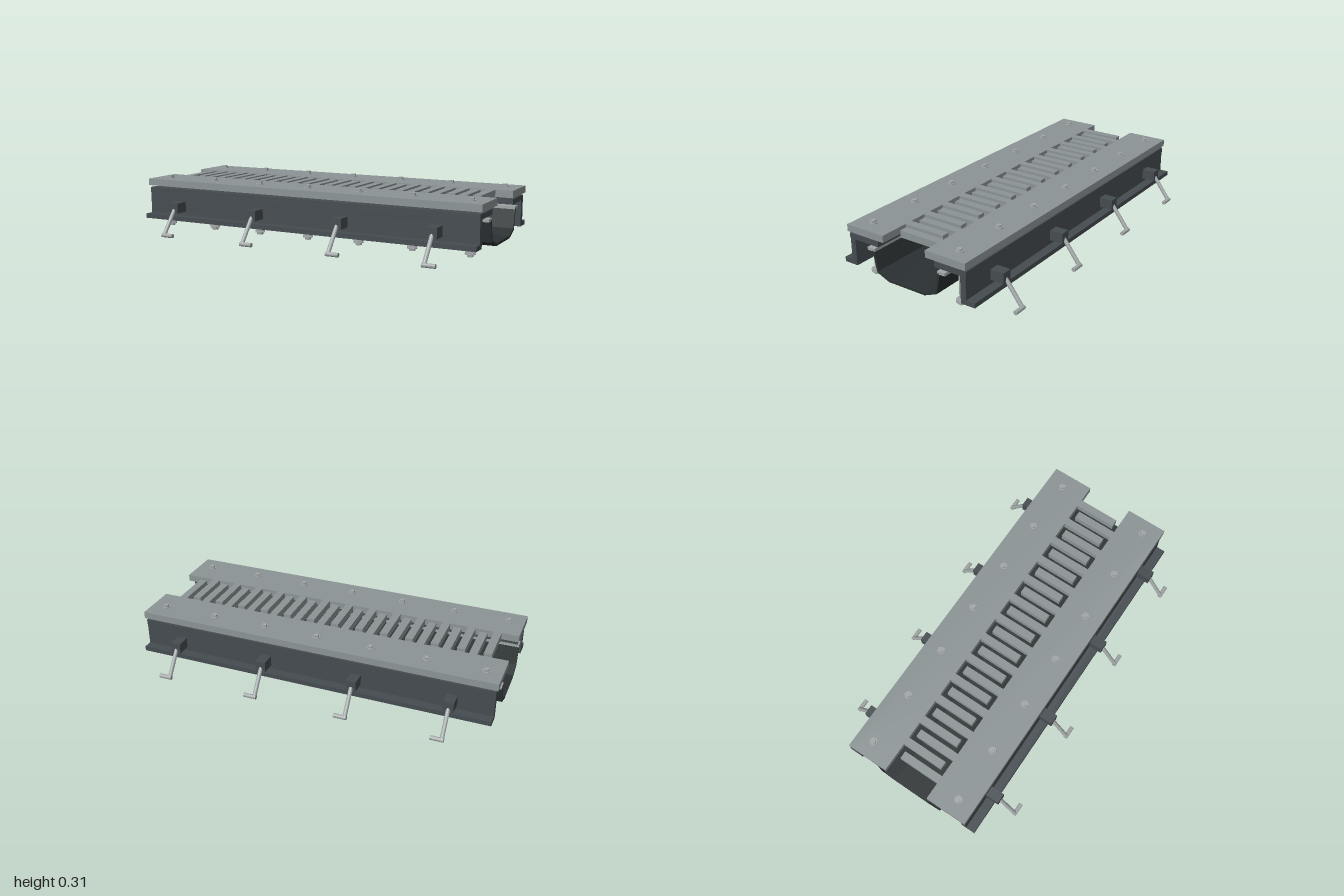
import * as THREE from 'three';

const material = (color) => new THREE.MeshStandardMaterial({ color, flatShading: true });

export function createModel() {
  const root = new THREE.Group();
  const plateMat = material(0x8c9496);
  const beamMat = material(0x454c50);
  const troughMat = material(0x2b3133);
  const boltMat = material(0xa0a5a5);

  const add = (name, geometry, mat, x = 0, y = 0, z = 0) => {
    const mesh = new THREE.Mesh(geometry, mat);
    mesh.name = name;
    mesh.position.set(x, y, z);
    root.add(mesh);
    return mesh;
  };

  // Extrudes a (z, y) outline along x, centred on x = 0
  const alongX = (points, length) => {
    const shape = new THREE.Shape(points.map(([z, y]) => new THREE.Vector2(z, y)));
    return new THREE.ExtrudeGeometry(shape, { depth: length, bevelEnabled: false })
      .translate(0, 0, -length / 2)
      .rotateY(-Math.PI / 2);
  };

  // Round bar between two points
  const bar = (name, a, b, radius) => {
    const from = new THREE.Vector3(...a), to = new THREE.Vector3(...b);
    const dir = to.clone().sub(from);
    const mesh = add(name, new THREE.CylinderGeometry(radius, radius, dir.length(), 16), boltMat);
    mesh.position.copy(from).add(to).multiplyScalar(0.5);
    mesh.quaternion.setFromUnitVectors(new THREE.Vector3(0, 1, 0), dir.normalize());
  };

  // Comb plate: straight outer edge, 13 fingers reaching across the joint
  const pitch = 0.0707, half = 0.0215;
  const outline = [[-1, 0.368], [1, 0.368], [1, 0.132]];
  for (let i = 12; i >= 0; i--) {
    const x = (2 * i - 12.5) * pitch;
    outline.push([x + half, 0.132], [x + half, -0.104], [x - half, -0.104], [x - half, 0.132]);
  }
  outline.push([-1, 0.132]);
  const comb = new THREE.ExtrudeGeometry(
    new THREE.Shape(outline.map(([x, z]) => new THREE.Vector2(x, z))),
    { depth: 0.038, bevelEnabled: false }
  ).rotateX(Math.PI / 2);
  add('frontCombPlate', comb, plateMat, 0, 0.297, 0);
  add('backCombPlate', comb, plateMat, 0, 0.297, 0).rotation.y = Math.PI;

  // Drainage trough hung below the fingers
  const outer = [[0.213, 0.196], [0.189, 0.08], [0.113, 0.049]];
  const inner = [[0.109, 0.062], [0.179, 0.09], [0.201, 0.196]];
  const flip = (pts) => pts.map(([z, y]) => [-z, y]).reverse();
  add('drainTrough', alongX([...outer, ...flip(outer), ...flip(inner), ...inner], 1.99), troughMat);

  const boltXs = [-0.914, -0.607, -0.304, 0, 0.304, 0.607, 0.914];
  for (const s of [1, -1]) {
    const side = s > 0 ? 'front' : 'back';
    const mirrored = (pts) => pts.map(([z, y]) => [z * s, y]);

    // Edge beam: top flange, web and outward bottom flange
    add(side + 'EdgeBeam', alongX(mirrored([
      [0.364, 0.248], [0.176, 0.248], [0.176, 0.219], [0.33, 0.219], [0.33, 0.075],
      [0.411, 0.075], [0.411, 0.1], [0.361, 0.1], [0.361, 0.219], [0.364, 0.219],
    ]), 1.98), beamMat);

    // Strip holding the trough edge
    add(side + 'TroughStrip', new THREE.BoxGeometry(1.99, 0.016, 0.046), boltMat, 0, 0.198, 0.22 * s);

    // Triangular stiffeners between the bolts
    for (let i = 0; i < boltXs.length - 1; i++) {
      add(side + 'Gusset', alongX(mirrored([[0.332, 0.221], [0.222, 0.221], [0.332, 0.108]]), 0.02),
        beamMat, (boltXs[i] + boltXs[i + 1]) / 2);
    }

    // Clamping bolts with head, washers and nut
    for (const x of boltXs) {
      const z = 0.272 * s;
      const disc = (name, r, y0, y1, sides) =>
        add(side + name, new THREE.CylinderGeometry(r, r, y1 - y0, sides), boltMat, x, (y0 + y1) / 2, z);
      disc('BoltShank', 0.01, 0.018, 0.3, 16);
      disc('BoltWasher', 0.021, 0.296, 0.302, 16);
      disc('BoltHead', 0.015, 0.302, 0.313, 6);
      disc('LowerWasher', 0.027, 0.039, 0.045, 16);
      disc('LowerWasher', 0.027, 0.03, 0.035, 16);
      disc('BoltNut', 0.017, 0.018, 0.031, 6);
    }

    // Anchor blocks with sloping hooked rods
    for (const x of [-0.773, -0.257, 0.257, 0.773]) {
      add(side + 'AnchorBlock', new THREE.BoxGeometry(0.056, 0.056, 0.078), beamMat, x, 0.151, 0.398 * s);
      bar(side + 'AnchorRod', [x, 0.145, 0.425 * s], [x, 0.013, 0.525 * s], 0.011);
      bar(side + 'AnchorHook', [x - 0.011, 0.0125, 0.526 * s], [x + 0.06, 0.0125, 0.526 * s], 0.0115);
    }
  }
  return root;
}
